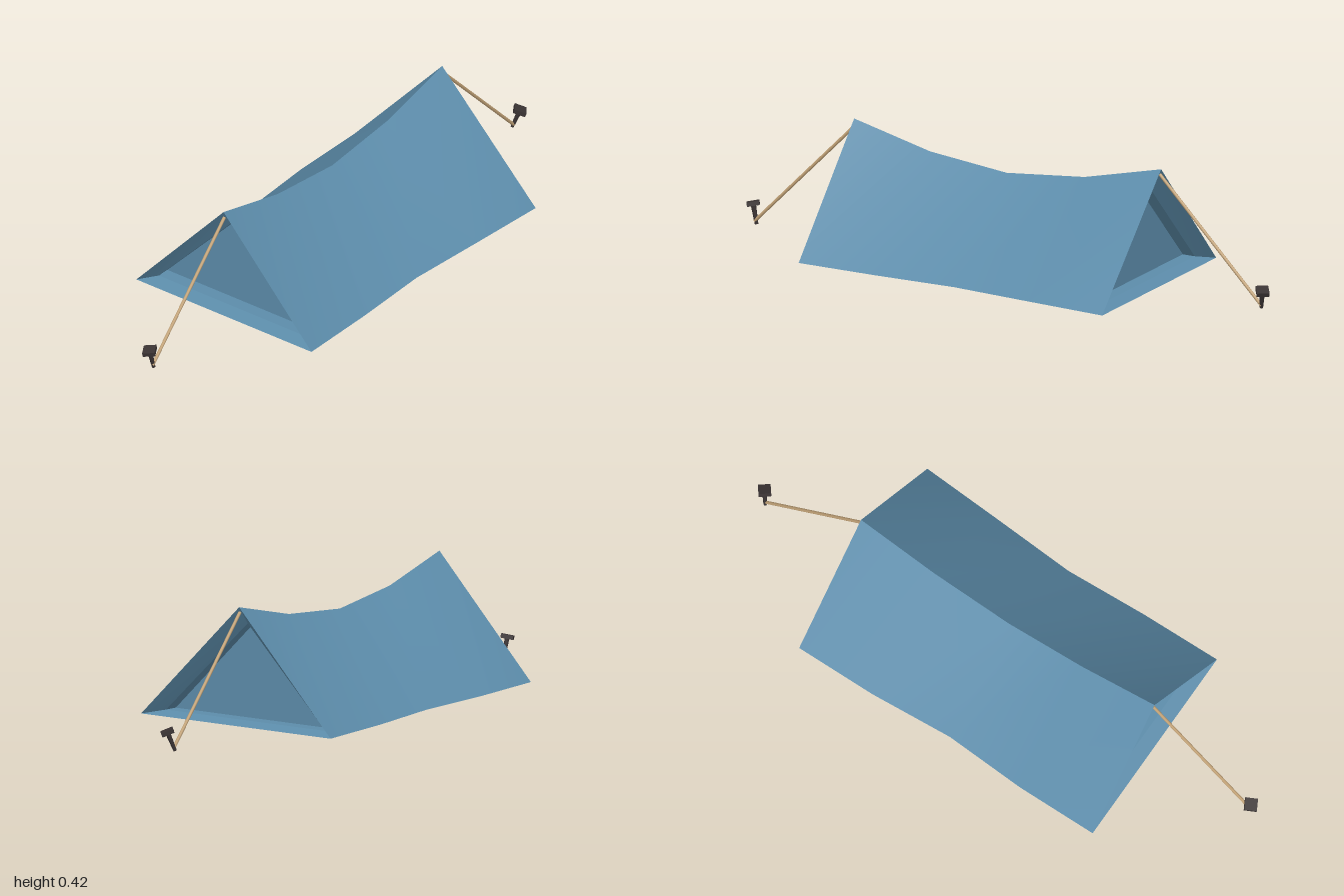
import * as THREE from 'three';

const canvas = new THREE.MeshStandardMaterial({ color: 0x5c8caa, side: THREE.DoubleSide });
canvas.name = 'blue canvas';
const cord = new THREE.MeshStandardMaterial({ color: 0xc4a478 });
cord.name = 'tan rope';
const iron = new THREE.MeshStandardMaterial({ color: 0x3a3333 });
iron.name = 'dark iron';

// Sheet of cloth between two equally long rows of points
function sheet(rowA, rowB) {
  const index = [], n = rowA.length;
  for (let i = 0; i < n - 1; i++) index.push(i, n + i, i + 1, i + 1, n + i, n + i + 1);
  const g = new THREE.BufferGeometry();
  g.setAttribute('position', new THREE.Float32BufferAttribute([...rowA, ...rowB].flat(), 3));
  g.setIndex(index);
  g.computeVertexNormals();
  return g;
}

function add(parent, name, geometry, material) {
  const mesh = new THREE.Mesh(geometry, material);
  mesh.name = name;
  parent.add(mesh);
  return mesh;
}

// Straight round or tapered bar between two points
function bar(parent, name, from, to, r0, r1, sides, material) {
  const a = new THREE.Vector3(...from), b = new THREE.Vector3(...to);
  const dir = b.clone().sub(a);
  const mesh = add(parent, name, new THREE.CylinderGeometry(r1, r0, dir.length(), sides), material);
  mesh.position.copy(a).add(b).multiplyScalar(0.5);
  mesh.quaternion.setFromUnitVectors(new THREE.Vector3(0, 1, 0), dir.normalize());
  return mesh;
}

const RIDGE_Z = -0.013, HEM_Y = 0.022;

// Sagging stations along the tent: x, ridge height, front hem z, back hem z
const stations = [
  [-0.588, 0.422, 0.355, -0.378],
  [-0.3, 0.352, 0.352, -0.378],
  [-0.01, 0.322, 0.34, -0.36],
  [0.285, 0.352, 0.36, -0.378],
  [0.575, 0.422, 0.378, -0.378],
];

// Recessed end: a funnel rim, a short straight recess and a closing panel
function tentEnd(side, [x, top, front, back]) {
  const end = new THREE.Group();
  end.name = side > 0 ? 'leftEnd' : 'rightEnd';
  const triangle = (depth, apexY, baseY, zf, zb) => [
    [x - side * depth, apexY, RIDGE_Z],
    [x - side * depth, baseY, zf],
    [x - side * depth, baseY, zb],
  ];
  const outer = triangle(0, top, HEM_Y, front, back);
  const lip = triangle(0.05, 0.36, 0.034, front - 0.065, back + 0.055);
  const inner = triangle(0.095, 0.358, 0.034, front - 0.073, back + 0.055);
  for (let i = 0; i < 3; i++) {
    const j = (i + 1) % 3;
    add(end, 'rim', sheet([outer[i], outer[j]], [lip[i], lip[j]]), canvas);
    add(end, 'recessWall', sheet([lip[i], lip[j]], [inner[i], inner[j]]), canvas);
  }
  const panel = new THREE.BufferGeometry();
  panel.setAttribute('position', new THREE.Float32BufferAttribute(inner.flat(), 3));
  panel.setIndex(side > 0 ? [0, 1, 2] : [0, 2, 1]);
  panel.computeVertexNormals();
  add(end, 'endPanel', panel, canvas);
  return end;
}

// Leaning peg with a square plate head
function stake(name, foot, head, turn) {
  const group = new THREE.Group();
  group.name = name;
  const shaft = bar(group, 'stakeShaft', foot, head, 0.006, 0.009, 6, iron);
  const plate = add(group, 'stakeHead', new THREE.BoxGeometry(0.042, 0.014, 0.042), iron);
  plate.position.set(...head);
  plate.quaternion.copy(shaft.quaternion);
  plate.rotateY(turn);
  return group;
}

export function createModel() {
  const tent = new THREE.Group();
  tent.name = 'tent';

  // Two roof slopes meeting in a sharp ridge
  const ridge = stations.map(([x, y]) => [x, y, RIDGE_Z]);
  const frontHem = stations.map(([x, , z]) => [x, HEM_Y, z]);
  const backHem = stations.map(([x, , , z]) => [x, HEM_Y, z]);
  add(tent, 'frontSlope', sheet(ridge, frontHem), canvas);
  add(tent, 'backSlope', sheet(backHem, ridge), canvas);

  // Closed ends
  tent.add(tentEnd(-1, stations[0]), tentEnd(1, stations[4]));

  // Guy ropes
  bar(tent, 'leftRope', [0.57, 0.404, RIDGE_Z], [0.955, 0.011, RIDGE_Z], 0.0055, 0.0055, 8, cord);
  bar(tent, 'rightRope', [-0.583, 0.4, RIDGE_Z], [-0.965, 0.013, RIDGE_Z], 0.0055, 0.0055, 8, cord);

  // Stakes
  tent.add(stake('leftStake', [0.952, 0.003, -0.017], [0.968, 0.066, 0.003], 0.65));
  tent.add(stake('rightStake', [-0.958, 0.003, -0.014], [-0.974, 0.071, -0.019], 0.5));
  return tent;
}
